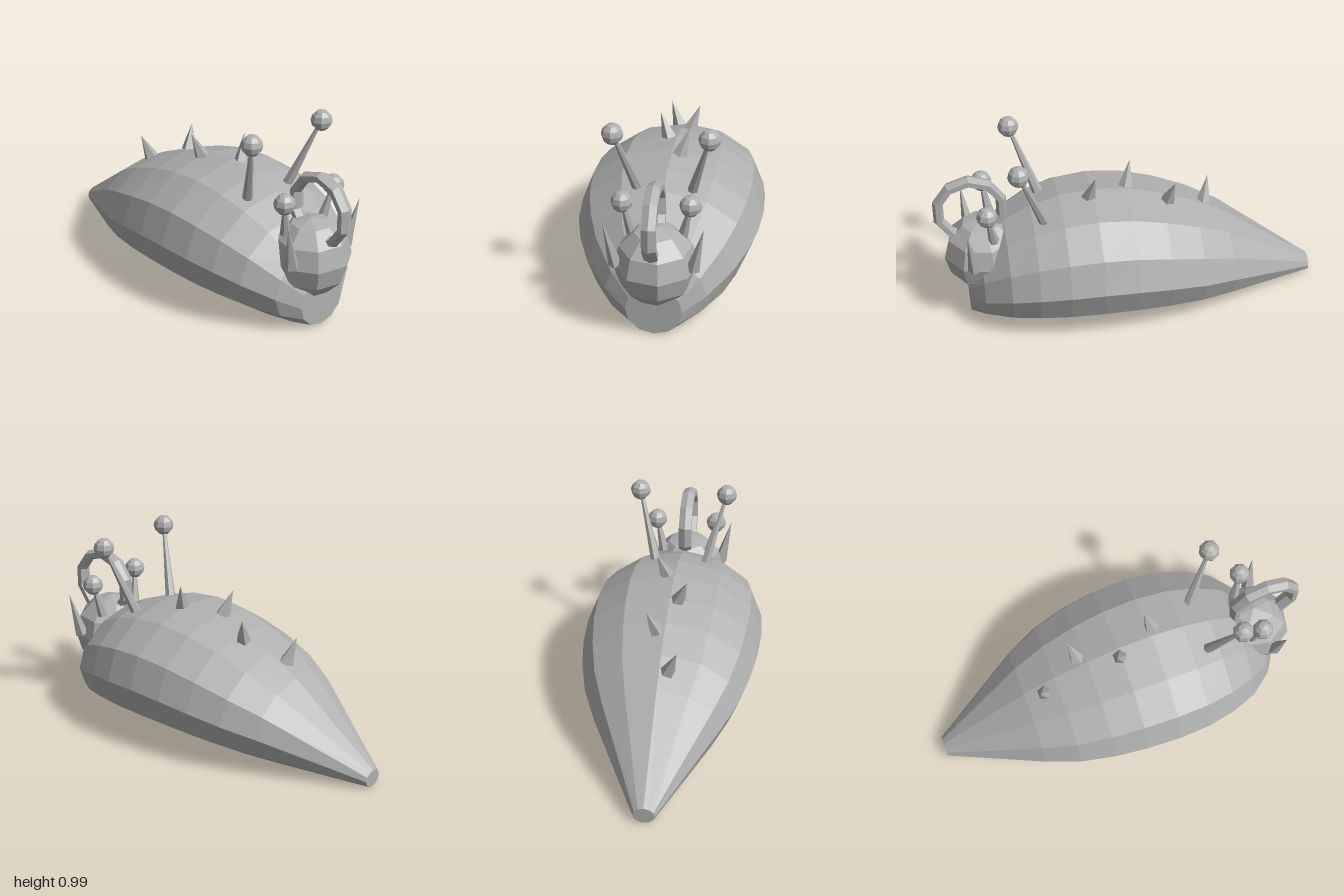
import * as THREE from 'three';

const skin = new THREE.MeshStandardMaterial({ color: 0xb0b0b0, flatShading: true });
skin.name = 'grey skin';

function add(parent, name, geometry) {
  const mesh = new THREE.Mesh(geometry, skin);
  mesh.name = name;
  parent.add(mesh);
  return mesh;
}

// Tapered rod or cone running between two points
function taper(parent, name, from, to, r0, r1, sides) {
  const a = new THREE.Vector3(...from), b = new THREE.Vector3(...to);
  const dir = b.clone().sub(a);
  const mesh = add(parent, name, new THREE.CylinderGeometry(r1, r0, dir.length(), sides));
  mesh.position.copy(a).add(b).multiplyScalar(0.5);
  mesh.quaternion.setFromUnitVectors(new THREE.Vector3(0, 1, 0), dir.normalize());
  return mesh;
}

// Twelve-sided elliptical rings resting on the ground: [z, half width, top height]
function bodyGeometry() {
  const rings = [
    [-1, 0.055, 0.09], [-0.52, 0.32, 0.44], [-0.35, 0.395, 0.53], [-0.17, 0.44, 0.6],
    [0, 0.463, 0.645], [0.18, 0.47, 0.663], [0.35, 0.457, 0.645], [0.5, 0.42, 0.6],
    [0.64, 0.36, 0.525], [0.77, 0.25, 0.39], [0.84, 0.14, 0.27],
  ];
  const n = 12, pos = [], idx = [];
  for (const [z, w, top] of rings) {
    for (let j = 0; j < n; j++) {
      const a = (j / n) * Math.PI * 2;
      pos.push(w * Math.cos(a), (top / 2) * (1 + Math.sin(a)), z);
    }
  }
  const last = (rings.length - 1) * n;
  for (let j = 0; j < n; j++) {
    const k = (j + 1) % n;
    for (let i = 0; i < last; i += n) {
      idx.push(i + j, i + k, i + n + j, i + k, i + n + k, i + n + j);
    }
    // flat end caps
    if (j > 0 && j < n - 1) {
      idx.push(last, last + j, last + k);
      idx.push(0, k, j);
    }
  }
  const g = new THREE.BufferGeometry();
  g.setAttribute('position', new THREE.Float32BufferAttribute(pos, 3));
  g.setIndex(idx);
  g.computeVertexNormals();
  return g;
}

export function createModel() {
  const model = new THREE.Group();
  model.name = 'slug';

  add(model, 'body', bodyGeometry());

  const head = add(model, 'head', new THREE.SphereGeometry(0.205, 8, 6));
  head.position.set(0, 0.352, 0.752);
  head.rotation.y = THREE.MathUtils.degToRad(11);

  // Upright ring through the front of the head
  const ring = add(model, 'headRing', new THREE.TorusGeometry(0.168, 0.028, 6, 10));
  ring.position.set(0, 0.617, 0.805);
  ring.rotation.set(0, Math.PI / 2, 0);
  ring.geometry.rotateZ(Math.PI / 2);
  ring.scale.z = 1.4;

  // Paired eye stalks, feelers and cheek horns
  for (const s of [1, -1]) {
    const side = s > 0 ? 'left' : 'right';
    const stalks = [
      ['Eye', [s * 0.135, 0.58, 0.44], [s * 0.232, 0.94, 0.57]],
      ['Feeler', [s * 0.125, 0.49, 0.7], [s * 0.164, 0.67, 0.73]],
    ];
    for (const [part, base, tip] of stalks) {
      taper(model, side + part + 'Stalk', base, tip, 0.028, 0.008, 6);
      const ball = add(model, side + part + 'Ball', new THREE.SphereGeometry(0.054, 8, 6));
      ball.position.set(...tip);
    }
    taper(model, side + 'CheekHorn', [s * 0.185, 0.37, 0.81], [s * 0.24, 0.61, 0.838], 0.036, 0, 5);
  }

  // Zigzag row of back spikes, leaning outward and slightly backward
  const spikes = [[0.2, 0.645, 0.785], [-0.005, 0.63, 0.76], [-0.21, 0.575, 0.705], [-0.42, 0.48, 0.615]];
  spikes.forEach(([z, y, tipY], i) => {
    const s = i % 2 ? -1 : 1;
    taper(model, 'backSpike', [s * 0.042, y, z], [s * 0.09, tipY, z - 0.03], 0.04, 0, 5);
  });

  return model;
}
